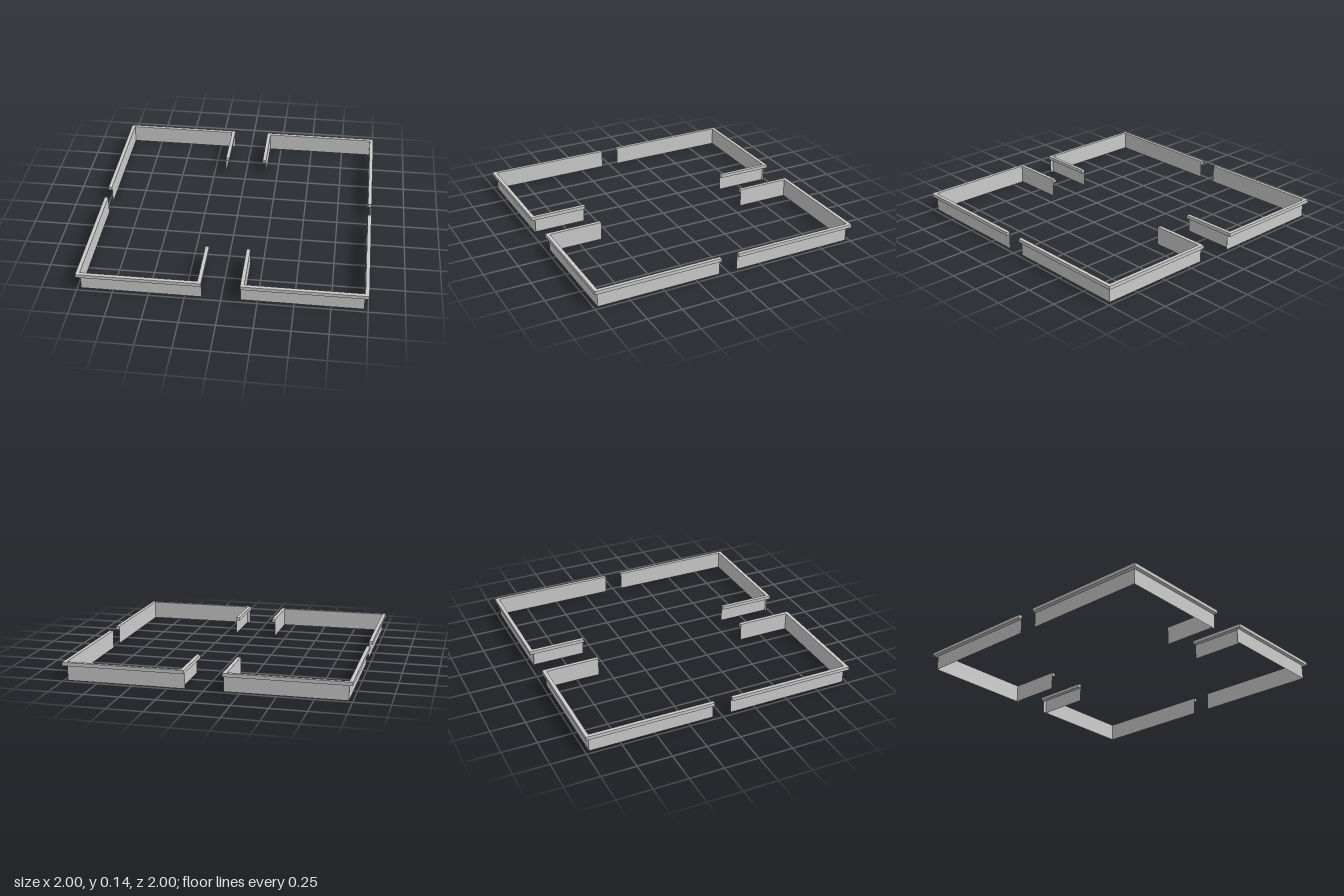
import * as THREE from 'three';

const OUT = 1;          // outer edge of the coping
const CAP = 0.027;      // coping width
const IN = OUT - CAP;   // wall line
const CAP_Y = 0.11, TOP = 0.135;
const GATE_X = 0.133;   // half width of front and back openings
const GATE_Z = 0.067;   // half width of side openings
const LEG_END = 0.58;   // inner end of the return walls

const material = new THREE.MeshStandardMaterial({ color: 0xcccccc, side: THREE.DoubleSide });

// Solid coping block spanning x0..x1, z0..z1 in the quadrant (sx, sz)
function coping(name, sx, sz, x0, x1, z0, z1) {
  const mesh = new THREE.Mesh(new THREE.BoxGeometry(x1 - x0, TOP - CAP_Y, z1 - z0), material);
  mesh.position.set(sx * (x0 + x1) / 2, (CAP_Y + TOP) / 2, sz * (z0 + z1) / 2);
  mesh.name = name;
  return mesh;
}

// Thin upright wall sheet between two plan points in the quadrant (sx, sz)
function wall(name, sx, sz, x0, z0, x1, z1) {
  const geometry = new THREE.PlaneGeometry(Math.hypot(x1 - x0, z1 - z0), CAP_Y);
  if (x0 === x1) geometry.rotateY(sx * Math.PI / 2);
  else if (sz < 0) geometry.rotateY(Math.PI);
  const mesh = new THREE.Mesh(geometry, material);
  mesh.position.set(sx * (x0 + x1) / 2, CAP_Y / 2, sz * (z0 + z1) / 2);
  mesh.name = name;
  return mesh;
}

export function createModel() {
  const model = new THREE.Group();
  model.name = 'boundaryWall';
  for (const sz of [1, -1]) {
    for (const sx of [1, -1]) {
      const quarter = new THREE.Group();
      quarter.name = (sz > 0 ? 'front' : 'back') + (sx > 0 ? 'Left' : 'Right') + 'Section';
      const legX = GATE_X + CAP;
      quarter.add(
        // Walls: side run, end run, and return beside the opening
        wall('sideWall', sx, sz, IN, GATE_Z, IN, IN),
        wall('endWall', sx, sz, GATE_X, IN, IN, IN),
        wall('returnWall', sx, sz, legX, LEG_END, legX, IN),
        // Coping, overhanging outwards from the wall line
        coping('sideCoping', sx, sz, IN, OUT, GATE_Z, IN),
        coping('endCoping', sx, sz, GATE_X, OUT, IN, OUT),
        coping('returnCoping', sx, sz, GATE_X, legX, LEG_END, IN),
      );
      model.add(quarter);
    }
  }
  return model;
}
